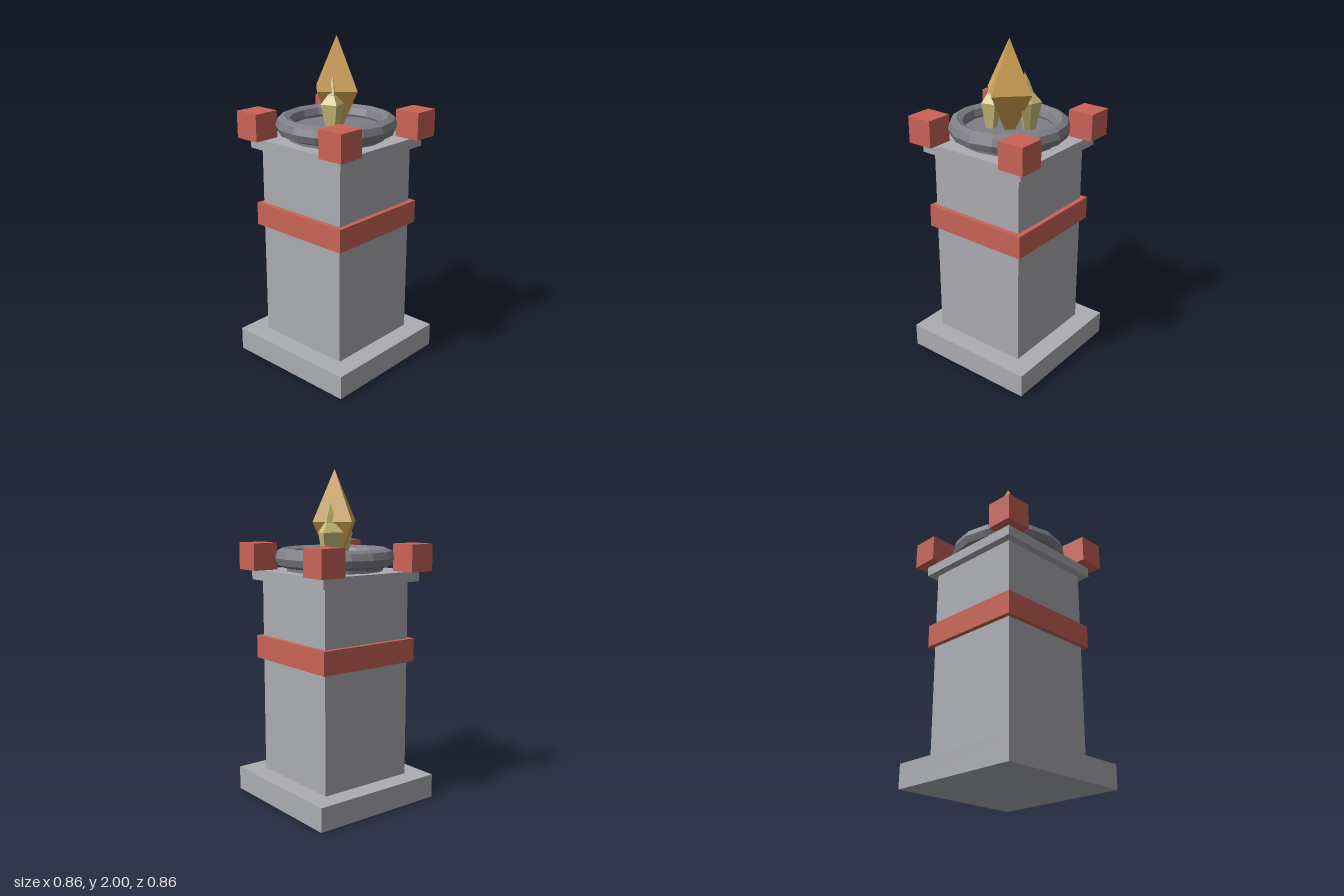
import * as THREE from 'three';

const mat = (name, color, side = THREE.FrontSide) => {
  const m = new THREE.MeshStandardMaterial({ color, flatShading: true, side });
  m.name = name;
  return m;
};

// Leaning shard: a belly polygon (x, z) scaled into stacked rings, closed by a tip
function shardGeometry(belly, centre, tip, rings) {
  const n = belly.length, pos = [];
  const loops = rings.map(([y, s, lean]) => belly.map(([x, z]) => [
    THREE.MathUtils.lerp(centre[0], tip[0], lean) + (x - centre[0]) * s, y,
    THREE.MathUtils.lerp(centre[1], tip[2], lean) + (z - centre[1]) * s]));
  loops.push(belly.map(() => tip));
  for (let r = 0; r < loops.length - 1; r++) {
    for (let i = 0; i < n; i++) {
      const j = (i + 1) % n, a = loops[r], b = loops[r + 1];
      pos.push(...a[i], ...b[i], ...b[j]);
      if (r < loops.length - 2) pos.push(...a[i], ...b[j], ...a[j]);
      else pos.splice(-9, 9, ...a[i], ...tip, ...a[j]);
    }
  }
  const g = new THREE.BufferGeometry();
  g.setAttribute('position', new THREE.Float32BufferAttribute(pos, 3));
  g.computeVertexNormals();
  return g;
}

export function createModel() {
  const model = new THREE.Group();
  model.name = 'crystalPedestal';
  const stone = mat('stone', 0xacadb1);
  const red = mat('redTrim', 0xc96357);
  const iron = mat('darkIron', 0x7f7e87);
  const gold = mat('goldCrystal', 0xcc9f50);
  const pale = mat('paleCrystal', 0xcdbf7b);

  const add = (name, geometry, material, x = 0, y = 0, z = 0) => {
    const m = new THREE.Mesh(geometry, material);
    m.name = name;
    m.position.set(x, y, z);
    model.add(m);
    return m;
  };
  const slab = (name, half, y0, y1, material, x = 0, z = 0) =>
    add(name, new THREE.BoxGeometry(half * 2, y1 - y0, half * 2), material, x, (y0 + y1) / 2, z);

  // Pedestal
  slab('base', 0.43, 0, 0.145, stone);
  slab('column', 0.31, 0.145, 1.345, stone);
  slab('band', 0.34, 0.86, 1.0, red);
  slab('cap', 0.357, 1.345, 1.406, stone);

  // Corner blocks
  for (const sx of [-1, 1]) for (const sz of [-1, 1])
    slab('cornerBlock', 0.082, 1.406, 1.568, red, sx * 0.329, sz * 0.329);

  // Bowl: faceted rim and floor
  const rim = new THREE.TorusGeometry(0.31, 0.05, 8, 16);
  rim.rotateX(Math.PI / 2);
  rim.scale(1, 1.14, 1);
  add('bowlRim', rim, iron, 0, 1.484, 0);
  add('bowlFloor', new THREE.CylinderGeometry(0.29, 0.29, 0.064, 16), iron, 0, 1.438, 0);

  // Main crystal
  const crystal = new THREE.OctahedronGeometry(1);
  crystal.scale(0.163, 0.305, 0.163);
  add('mainCrystal', crystal, gold, 0, 1.695, 0);

  // Side shards
  add('rightShard', shardGeometry(
    [[0.16, -0.10], [0.14, -0.025], [0.10, 0.02], [0.04, -0.03], [0.035, -0.13]],
    [0.095, -0.06], [0.07, 1.81, -0.05],
    [[1.46, 0.5, 0], [1.635, 1, 0], [1.69, 0.42, 0.2], [1.75, 0.26, 0.6]]), pale);
  add('leftShard', shardGeometry(
    [[-0.035, 0.09], [-0.12, 0.11], [-0.155, 0.02], [-0.05, 0.0]],
    [-0.095, 0.055], [-0.08, 1.78, 0.045],
    [[1.46, 0.5, 0], [1.625, 1, 0], [1.675, 0.42, 0.2], [1.725, 0.26, 0.6]]), pale);

  return model;
}
